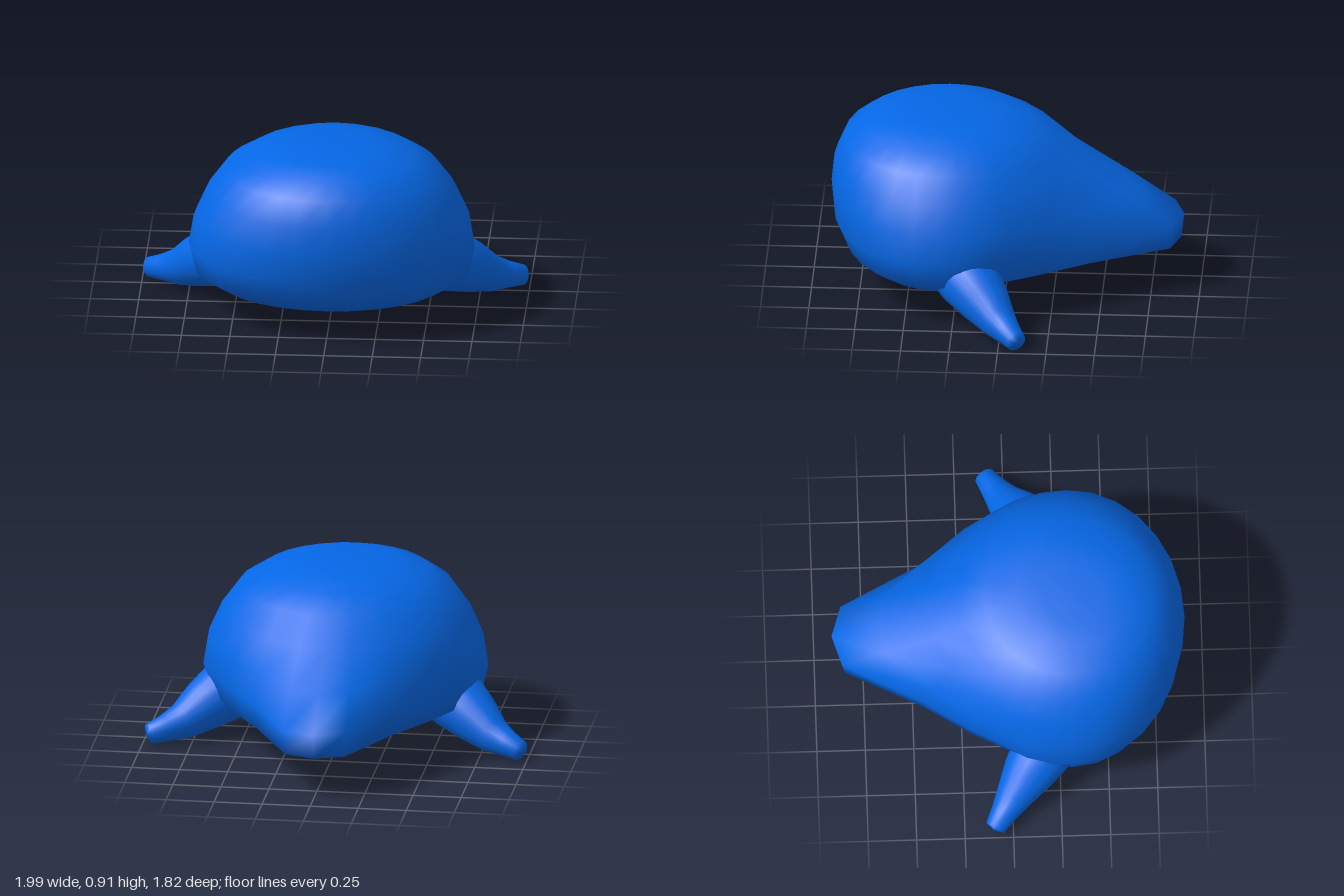
import * as THREE from 'three';

const blue = new THREE.MeshStandardMaterial({ color: 0x0567e6 });
const LIMB_SIDES = 20;

// Skin a list of closed rings into one smooth surface.
function loft(rings) {
  const n = rings[0].length;
  const index = [];
  for (let i = 0; i < rings.length - 1; i++) {
    for (let j = 0; j < n; j++) {
      const a = i * n + j, b = i * n + (j + 1) % n;
      index.push(a, a + n, b, b, a + n, b + n);
    }
  }
  const g = new THREE.BufferGeometry().setFromPoints(rings.flat());
  g.setIndex(index);
  g.computeVertexNormals();
  return g;
}

// A ring shrunk to one point, to close an end.
const pointRing = (n, x, y, z) => Array.from({ length: n }, () => new THREE.Vector3(x, y, z));

// Horizontal rings from the back down to the belly:
// height, half width, reach to the front, z at the rear, height at the rear
const BODY = [
  [0.917, 0.17, 0.17, 0.18, 0.917],
  [0.905, 0.29, 0.31, 0.04, 0.905],
  [0.865, 0.43, 0.43, -0.12, 0.865],
  [0.79, 0.55, 0.52, -0.26, 0.79],
  [0.66, 0.645, 0.575, -0.42, 0.665],
  [0.51, 0.712, 0.59, -0.68, 0.51],
  [0.36, 0.737, 0.575, -0.91, 0.36],
  [0.23, 0.705, 0.52, -0.895, 0.23],
  [0.155, 0.58, 0.43, -0.65, 0.23],
  [0.155, 0.34, 0.28, -0.27, 0.118],
  [0.155, 0.24, 0.15, -0.1, 0.108],
];
const CENTRE_Z = 0.32;

// Tail outline: share of the half width, share of the rear length
const TAIL = [[1, 0], [0.985, 0.1], [0.94, 0.195], [0.87, 0.262], [0.72, 0.43],
  [0.5, 0.634], [0.218, 0.959], [0, 1]];
const FRONT_STEPS = 14;

// Ring with an elliptical front; the longer its rear, the closer it follows the tail outline.
function bodyRing([y, halfWidth, front, rearZ, rearY]) {
  const rear = CENTRE_Z - rearZ;
  const taper = THREE.MathUtils.clamp((rear / front - 1) / 1.14, 0, 1);
  const half = TAIL.map(([u, f]) => {
    const q = THREE.MathUtils.lerp(Math.sqrt(1 - u * u), f, taper);
    return new THREE.Vector3(u * halfWidth, THREE.MathUtils.lerp(y, rearY, q * q), CENTRE_Z - rear * q);
  });
  const mirrored = half.slice(0, -1).reverse().map((p) => new THREE.Vector3(-p.x, p.y, p.z));
  const head = Array.from({ length: FRONT_STEPS - 1 }, (_, j) => {
    const t = ((j + 1) / FRONT_STEPS) * Math.PI;
    return new THREE.Vector3(-Math.cos(t) * halfWidth, y, CENTRE_Z + Math.sin(t) * front);
  });
  return [...half, ...mirrored, ...head];
}

function bodyGeometry() {
  const rings = BODY.map(bodyRing);
  const n = rings[0].length;
  return loft([pointRing(n, 0, 0.918, 0.33), ...rings, pointRing(n, 0, 0.14, 0.03)]);
}

// Flipper: centre x, y, z and radius, from inside the body to the tip
const FLIPPER = [
  [0.44, 0.32, 0.28, 0.17],
  [0.6, 0.23, 0.165, 0.163],
  [0.71, 0.162, 0.08, 0.133],
  [0.81, 0.1, 0.005, 0.095],
  [0.89, 0.077, -0.047, 0.07],
  [0.965, 0.058, -0.095, 0.053],
];

function flipperGeometry(side) {
  const centres = FLIPPER.map(([x, y, z]) => new THREE.Vector3(side * x, y, z));
  const last = centres.length - 1;
  const up = new THREE.Vector3(0, 1, 0);
  const rings = centres.map((centre, i) => {
    const along = centres[Math.min(i + 1, last)].clone().sub(centres[Math.max(i - 1, 0)]).normalize();
    const across = up.clone().cross(along).normalize();
    const rise = along.clone().cross(across);
    const radius = FLIPPER[i][3];
    return Array.from({ length: LIMB_SIDES }, (_, j) => {
      const t = (j / LIMB_SIDES) * Math.PI * 2;
      return centre.clone()
        .addScaledVector(across, radius * Math.cos(t))
        .addScaledVector(rise, -radius * Math.sin(t));
    });
  });
  return loft([...rings, pointRing(LIMB_SIDES, side * 0.975, 0.056, -0.101)]);
}

export function createModel() {
  const model = new THREE.Group();
  const add = (name, geometry) => {
    const mesh = new THREE.Mesh(geometry, blue);
    mesh.name = name;
    model.add(mesh);
  };

  // Rounded head and back, drawn out into a wedge-shaped tail
  add('body', bodyGeometry());

  // Pair of flippers swept down and back
  add('leftFlipper', flipperGeometry(1));
  add('rightFlipper', flipperGeometry(-1));
  return model;
}
